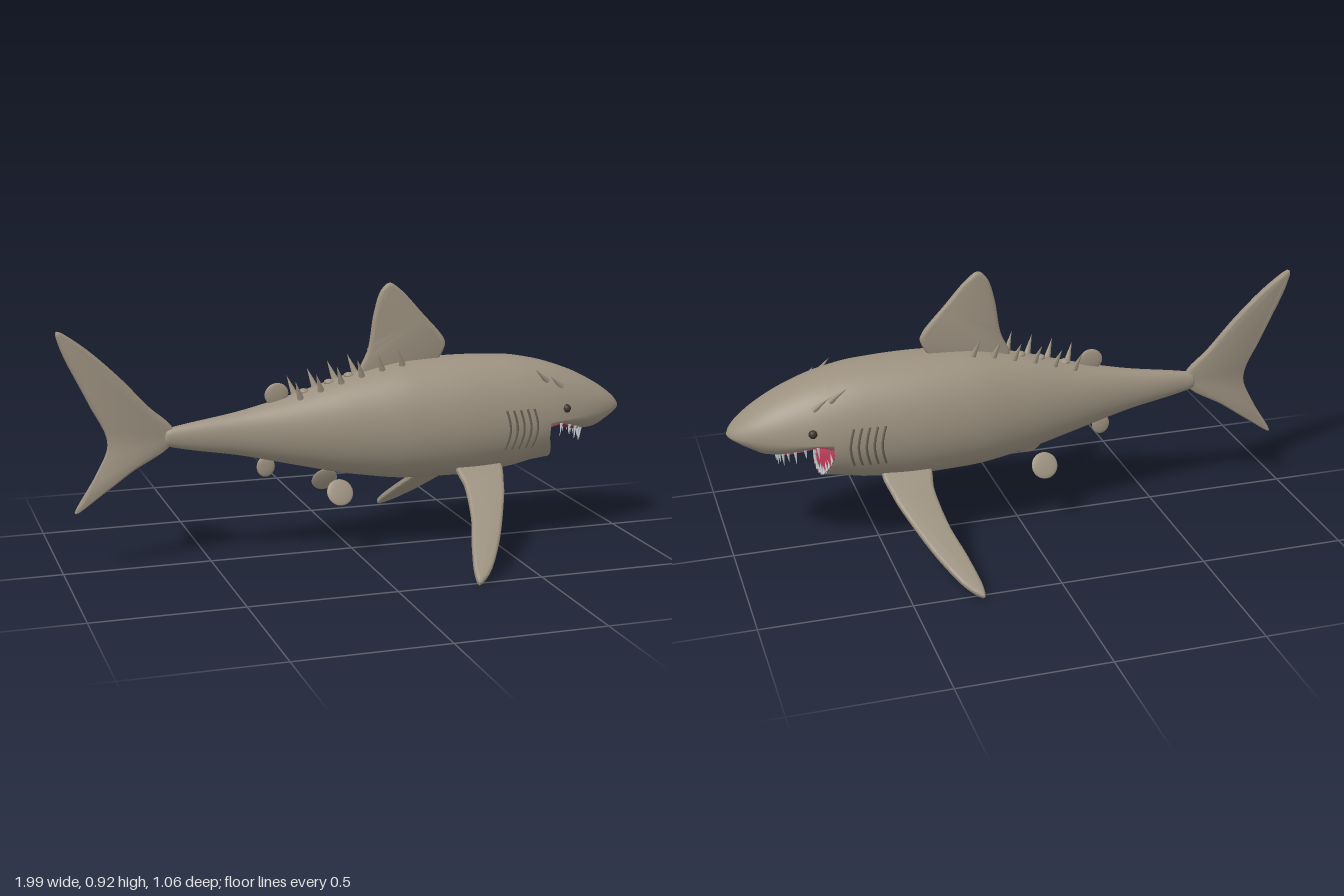
import * as THREE from 'three';
import { toCreasedNormals } from 'three/addons/utils/BufferGeometryUtils.js';

const mat = (name, color, side = THREE.FrontSide) => {
  const m = new THREE.MeshStandardMaterial({ color, side });
  m.name = name;
  return m;
};

// Hull stations: x, top, widest height, belly, half width
const HULL = [
  [-0.655, 0.442, 0.437, 0.432, 0.004], [-0.645, 0.465, 0.437, 0.41, 0.02], [-0.6, 0.475, 0.437, 0.397, 0.026],
  [-0.4, 0.508, 0.435, 0.36, 0.052], [-0.2, 0.555, 0.435, 0.312, 0.095], [0, 0.612, 0.435, 0.267, 0.14],
  [0.2, 0.65, 0.435, 0.242, 0.175], [0.38, 0.656, 0.435, 0.24, 0.186], [0.55, 0.65, 0.435, 0.255, 0.18],
  [0.67, 0.63, 0.435, 0.28, 0.168], [0.8, 0.587, 0.44, 0.3, 0.138], [0.9, 0.535, 0.448, 0.33, 0.1],
  [0.96, 0.492, 0.448, 0.38, 0.062], [0.985, 0.466, 0.447, 0.42, 0.034], [0.996, 0.447, 0.446, 0.445, 0.004],
];
// Underside of the snout: x, y
const SNOUT = [[0.67, 0.39], [0.7, 0.408], [0.72, 0.41], [0.77, 0.388], [0.84, 0.375], [0.87, 0.376],
  [0.93, 0.402], [0.97, 0.425], [0.99, 0.438], [0.996, 0.445]];

// Smooth monotone interpolation of one table column
function sample(table, col, x) {
  const n = table.length;
  let i = 0;
  while (i < n - 2 && x > table[i + 1][0]) i++;
  const d = (k) => (table[k + 1][col] - table[k][col]) / (table[k + 1][0] - table[k][0]);
  const slope = (k) => {
    if (k === 0) return d(0);
    if (k === n - 1) return d(n - 2);
    const a = d(k - 1), b = d(k);
    return a * b <= 0 ? 0 : (2 * a * b) / (a + b);
  };
  const h = table[i + 1][0] - table[i][0];
  const t = THREE.MathUtils.clamp((x - table[i][0]) / h, 0, 1), t2 = t * t, t3 = t2 * t;
  return table[i][col] * (2 * t3 - 3 * t2 + 1) + slope(i) * h * (t3 - 2 * t2 + t)
    + table[i + 1][col] * (3 * t2 - 2 * t3) + slope(i + 1) * h * (t3 - t2);
}

const ROUND = 0.85;
const section = (x, snout = false) => ({
  yt: sample(HULL, 1, x), yc: sample(HULL, 2, x), hw: sample(HULL, 4, x),
  yb: snout ? sample(SNOUT, 1, x) : sample(HULL, 3, x),
});
// Point on a section, angle measured from the top toward +z
function ringPoint(s, a) {
  const c = Math.cos(a), sn = Math.sin(a);
  return [s.yc + c * (c > 0 ? s.yt - s.yc : s.yc - s.yb), s.hw * Math.sign(sn) * Math.abs(sn) ** ROUND];
}
// Half width of the hull at a given height
function surfaceZ(x, y) {
  const s = section(x);
  const c = (y - s.yc) / (y > s.yc ? s.yt - s.yc : s.yc - s.yb);
  return s.hw * Math.max(0, 1 - c * c) ** (ROUND / 2);
}
// Height of the snout underside
function palateY(x, z) {
  const s = section(x, true);
  const k = Math.min(1, Math.abs(z) / s.hw) ** (1 / ROUND);
  return s.yc - (s.yc - s.yb) * Math.sqrt(Math.max(0, 1 - k * k));
}
const jawX = (y) => 0.67 + 0.035 * THREE.MathUtils.clamp((0.38 - y) / 0.1, 0, 1);
const lipX = (z) => 0.84 - 0.15 * (Math.abs(z) / 0.155) ** 3;

// Grid surface; rows run along x, columns run around or across
function surface(rows, cols, closed, point) {
  const pos = [], idx = [], w = closed ? cols : cols + 1;
  for (let i = 0; i <= rows; i++) for (let j = 0; j < w; j++) pos.push(...point(i, j));
  for (let i = 0; i < rows; i++) for (let j = 0; j < cols; j++) {
    const a = i * w + j, b = i * w + ((j + 1) % w);
    idx.push(a, b, a + w, b, b + w, a + w);
  }
  const g = new THREE.BufferGeometry();
  g.setAttribute('position', new THREE.Float32BufferAttribute(pos, 3));
  g.setIndex(idx);
  g.computeVertexNormals();
  return g;
}

// Thin bevelled fin from a smooth closed outline
function finGeometry(points, thick = 0.024, bevel = 0.014) {
  const curve = new THREE.CatmullRomCurve3(points.map(([x, y]) => new THREE.Vector3(x, y, 0)), true);
  const shape = new THREE.Shape(curve.getPoints(70).slice(0, -1).map((p) => new THREE.Vector2(p.x, p.y)));
  const core = thick * 0.25;
  const g = new THREE.ExtrudeGeometry(shape, {
    depth: core, bevelThickness: (thick - core) / 2, bevelSize: bevel, bevelOffset: -bevel, bevelSegments: 3,
  });
  g.translate(0, 0, -core / 2);
  return toCreasedNormals(g, 0.9);
}

export function createModel() {
  const root = new THREE.Group();
  const skin = mat('skin', 0x9c9180);
  const red = mat('mouth red', 0xa5324a, THREE.DoubleSide);
  const ivory = mat('tooth', 0xc9d2d4);
  const dark = mat('eye dark', 0x3a322c);
  const slit = mat('gill brown', 0x6a6054);
  const add = (name, geometry, material) => {
    const m = new THREE.Mesh(geometry, material);
    m.name = name;
    root.add(m);
    return m;
  };
  const spike = (name, base, tip, r, material) => {
    const a = new THREE.Vector3(...base), d = new THREE.Vector3(...tip).sub(a);
    const m = add(name, new THREE.ConeGeometry(r, d.length(), 8), material);
    m.position.copy(a).addScaledVector(d, 0.5);
    m.quaternion.setFromUnitVectors(new THREE.Vector3(0, 1, 0), d.normalize());
  };

  // Body with the lower jaw, then the snout
  const N = 48, angle = (j) => (j / N) * Math.PI * 2;
  add('body', surface(56, N, true, (i, j) => {
    const x = -0.655 + 1.325 * (i / 56) ** 1.5;
    const [y, z] = ringPoint(section(x), angle(j));
    return [i === 56 ? jawX(y) : x, y, z];
  }), skin);
  add('snout', surface(28, N, true, (i, j) => {
    const x = 0.67 + 0.326 * (1 - (1 - i / 28) ** 1.8);
    return [x, ...ringPoint(section(x, true), angle(j))];
  }), skin);

  // Mouth cavity and palate
  const jaw = { ...section(0.67), yt: 0.45 };
  const depth = [[0, 0.97], [0.07, 0.9], [0.17, 0.6], [0.22, 0.02]];
  add('mouthCavity', surface(3, N, true, (i, j) => {
    const [y, z] = ringPoint(jaw, angle(j)), [back, k] = depth[i];
    return [(i ? 0.67 : jawX(y)) - back, 0.37 + (y - 0.37) * k, z * k];
  }), red);
  add('palate', surface(12, 24, false, (i, j) => {
    const z = -0.15 + 0.3 * (j / 24), x = THREE.MathUtils.lerp(0.66, lipX(z), i / 12);
    return [x, palateY(x, z) - 0.004, z];
  }), red);

  // Teeth
  for (let i = 0; i < 17; i++) {
    const z = -0.144 + 0.018 * i, x = lipX(z), y = palateY(x, z);
    spike('upperTooth', [x, y + 0.004, z], [x - 0.004, y - (i % 2 ? 0.036 : 0.048), z * 0.97], 0.006, ivory);
  }
  for (let i = 0; i < 13; i++) {
    const [y, z] = ringPoint(jaw, Math.PI + (i - 6) * 0.17);
    const x = jawX(y) - 0.006;
    spike('lowerTooth', [x, y, z * 0.95], [x + 0.006, y + (i % 2 ? 0.034 : 0.045), z * 0.92], 0.006, ivory);
  }

  // Dorsal and tail fins
  add('dorsalFin', finGeometry([[0.03, 0.61], [0.06, 0.7], [0.08, 0.82], [0.105, 0.895], [0.135, 0.92],
    [0.17, 0.9], [0.25, 0.815], [0.335, 0.715], [0.335, 0.69], [0.29, 0.63]]), skin);
  add('tailFin', finGeometry([[-0.62, 0.465], [-0.7, 0.545], [-0.8, 0.655], [-0.92, 0.765], [-0.995, 0.81],
    [-0.985, 0.755], [-0.9, 0.57], [-0.84, 0.43], [-0.88, 0.33], [-0.955, 0.2], [-0.86, 0.26],
    [-0.76, 0.33], [-0.63, 0.412]], 0.024, 0.01), skin);

  // Small oval fins
  const oval = (name, x, y, z, rx, ry, tiltX, tiltZ) => {
    const m = add(name, new THREE.SphereGeometry(1, 20, 12), skin);
    m.scale.set(rx, ry, 0.008);
    m.position.set(x, y, z);
    m.rotation.set(tiltX, 0, tiltZ);
  };
  oval('rearDorsalFin', -0.265, 0.56, 0, 0.042, 0.038, 0, 0.3);
  oval('analFin', -0.305, 0.312, 0, 0.032, 0.036, 0, 0);

  const pectoral = finGeometry([[0.5, -0.04], [0.488, 0.06], [0.45, 0.17], [0.385, 0.32], [0.315, 0.435], [0.27, 0.47],
    [0.265, 0.44], [0.29, 0.32], [0.325, 0.2], [0.345, 0.06], [0.345, -0.04]], 0.022, 0.012);
  for (const s of [1, -1]) {
    // Paired fins
    const fin = add('pectoralFin', pectoral, skin);
    fin.position.set(0, 0.27, 0.14 * s);
    fin.rotation.x = 2.18 * s;
    oval('pelvicFin', -0.07, 0.226, 0.093 * s, 0.046, 0.046, -0.46 * s, 0.5);

    // Eyes, brow horns and gills
    const eye = add('eye', new THREE.SphereGeometry(0.015, 16, 12), dark);
    eye.position.set(0.735, 0.476, s * (surfaceZ(0.735, 0.476) - 0.003));
    spike('browHorn', [0.725, 0.548, s * 0.122], [0.675, 0.592, s * 0.138], 0.011, skin);
    spike('browHorn', [0.67, 0.572, s * 0.122], [0.618, 0.618, s * 0.142], 0.011, skin);
    for (let g = 0; g < 5; g++) {
      const pts = [];
      for (let k = 0; k <= 6; k++) {
        const y = 0.35 + 0.023 * k;
        const x = 0.5 + 0.026 * g + 0.014 * Math.sin((k / 6) * Math.PI);
        pts.push(new THREE.Vector3(x, y, s * surfaceZ(x, y)));
      }
      add('gillSlit', new THREE.TubeGeometry(new THREE.CatmullRomCurve3(pts), 16, 0.004, 6), slit);
    }

    // Rows of back spikes
    for (let k = 0; k < 6; k++) {
      const x = -0.19 + 0.072 * k, w = 0.036 + 0.001 * k, c = section(x);
      const y = c.yc + (c.yt - c.yc) * Math.sqrt(1 - (w / c.hw) ** 2);
      spike('backSpike', [x, y - 0.006, s * w], [x - 0.024, y + 0.062, s * (w + 0.02)], 0.013, skin);
    }
  }

  // Knobs along the spine
  for (const x of [-0.17, -0.08, -0.01]) {
    const knob = add('spineKnob', new THREE.SphereGeometry(0.018, 14, 10), skin);
    knob.scale.y = 0.6;
    knob.position.set(x, section(x).yt, 0);
  }
  return root;
}
